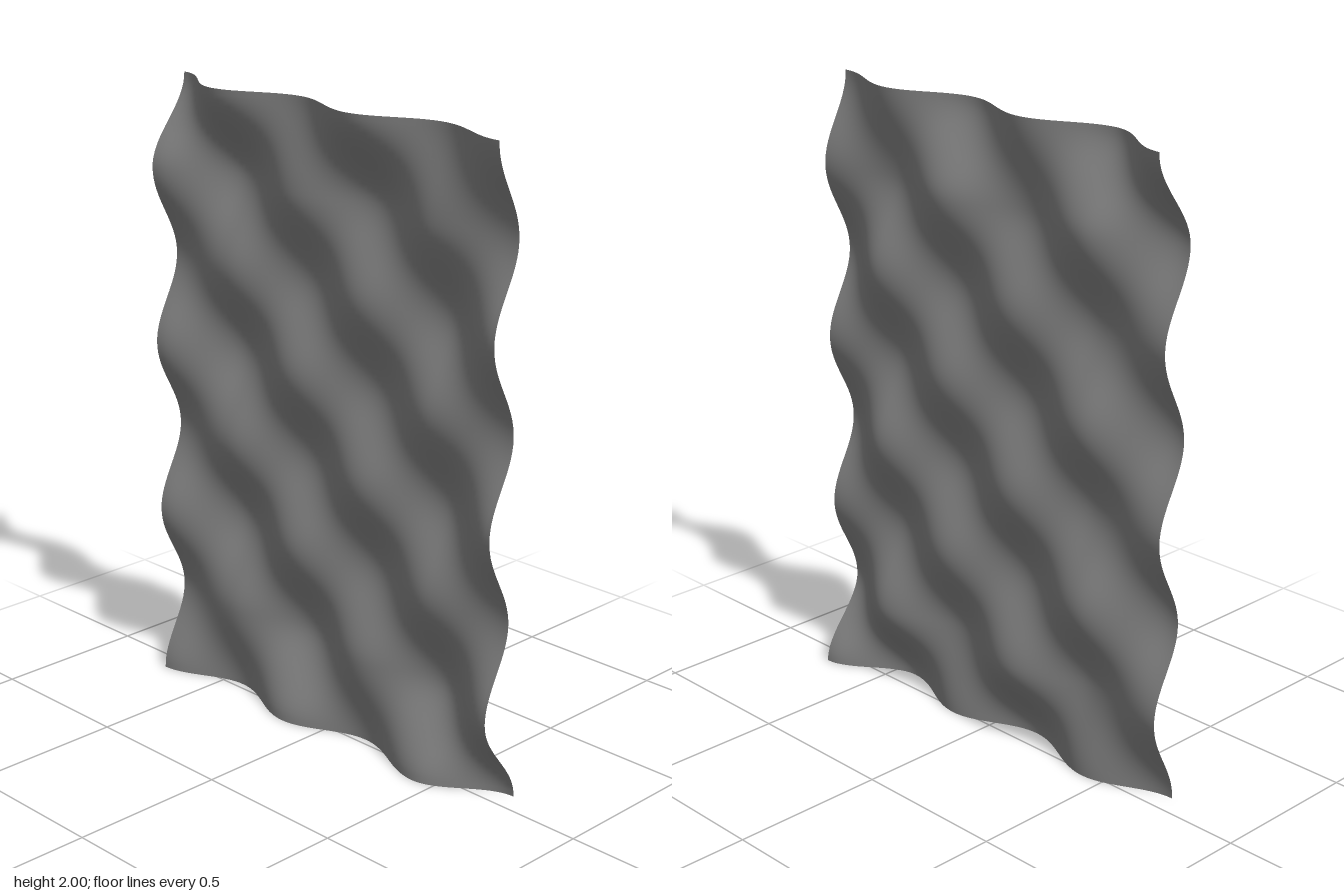
import * as THREE from 'three';

const COLS = 5, ROWS = 7;       // square cells across and up the panel
const CELL = 2 / ROWS;
const HIGH = 0.07, LOW = 0.023; // strong and weak swells
const STEPS = 16;               // divisions per cell

// Depth at a grid corner (i from the left, j from the top).
// Signs alternate like a checkerboard; bumps are strong on the rim,
// hollows are strong inside it and at two opposite panel corners.
function cornerDepth(i, j) {
  const bump = (i + j) % 2 === 1;
  const onRim = i === 0 || i === COLS || j === 0 || j === ROWS;
  const fullCorner = (i === 0 && j === 0) || (i === COLS && j === ROWS);
  if (bump) return onRim ? HIGH : LOW;
  return onRim && !fullCorner ? -LOW : -HIGH;
}

// Smooth cosine blend between the four corners of a cell
const ease = (t) => (1 - Math.cos(Math.PI * t)) / 2;
function relief(u, v) {
  const i = Math.min(Math.floor(u), COLS - 1);
  const j = Math.min(Math.floor(v), ROWS - 1);
  const s = ease(u - i);
  const upper = THREE.MathUtils.lerp(cornerDepth(i, j), cornerDepth(i + 1, j), s);
  const lower = THREE.MathUtils.lerp(cornerDepth(i, j + 1), cornerDepth(i + 1, j + 1), s);
  return THREE.MathUtils.lerp(upper, lower, ease(v - j));
}

export function createModel() {
  const group = new THREE.Group();
  group.name = 'wavyPanel';
  const width = COLS * CELL;

  // Thin sheet displaced by the relief
  const geometry = new THREE.PlaneGeometry(width, 2, COLS * STEPS, ROWS * STEPS);
  const p = geometry.attributes.position;
  for (let k = 0; k < p.count; k++) {
    const u = (k % (COLS * STEPS + 1)) / STEPS;
    const v = Math.floor(k / (COLS * STEPS + 1)) / STEPS;
    p.setXYZ(k, u * CELL - width / 2, 2 - v * CELL, relief(u, v));
  }
  geometry.computeVertexNormals();

  const sheet = new THREE.Mesh(
    geometry,
    new THREE.MeshStandardMaterial({ color: 0x828282, side: THREE.DoubleSide })
  );
  sheet.name = 'waveSheet';
  group.add(sheet);
  return group;
}
